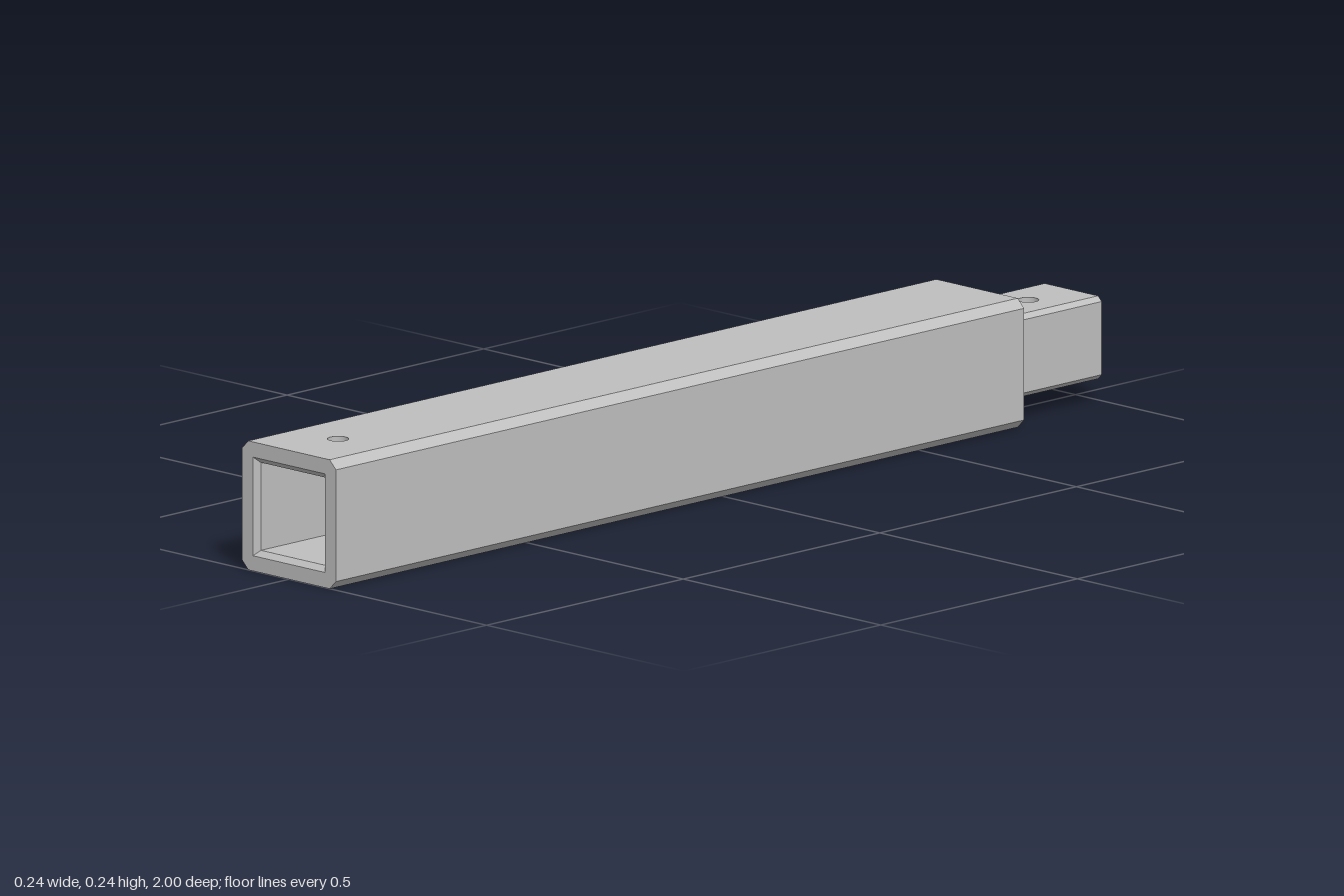
import * as THREE from 'three';

const BODY = 0.119, TENON = 0.0765, SOCKET = 0.081, MOUTH = 0.091; // half widths
const FRONT = 1, SHOULDER = -0.75, BACK = -1, FLOOR = 0.74, LIP = 0.99, NOSE = -0.99;
const BORE = 0.019, FRONT_PIN = 0.875, BACK_PIN = -0.88;

// Square outline, counter-clockwise from the front, with optional cut corners
function outline(h, c = 0) {
  const k = h - c;
  const points = c
    ? [[h, -k], [h, k], [k, h], [-k, h], [-h, k], [-h, -k], [-k, -h], [k, -h]]
    : [[h, -h], [h, h], [-h, h], [-h, -h]];
  return points.map(([x, y]) => new THREE.Vector2(x, y));
}

// Flat-sided skin between two outlines, from z0 back to z1, leaving out some sides
function skin(a, z0, b, z1, skip = [], inward = false) {
  const pos = [];
  a.forEach((p, i) => {
    if (skip.includes(i)) return;
    const j = (i + 1) % a.length;
    const q = [[p, z0], [b[i], z1], [b[j], z1], [a[j], z0]];
    const order = inward ? [0, 2, 1, 0, 3, 2] : [0, 1, 2, 0, 2, 3];
    for (const n of order) pos.push(q[n][0].x, q[n][0].y, q[n][1]);
  });
  const g = new THREE.BufferGeometry();
  g.setAttribute('position', new THREE.Float32BufferAttribute(pos, 3));
  g.computeVertexNormals();
  return g;
}

// Flat end face, optionally with a square opening
function endFace(points, z, facing, hole) {
  const shape = new THREE.Shape(points);
  if (hole) shape.holes.push(new THREE.Path(hole));
  const g = new THREE.ShapeGeometry(shape);
  if (facing < 0) g.rotateY(Math.PI);
  return g.translate(0, 0, z);
}

// Horizontal face at height y with a round pin hole
function drilledFace(half, zBack, zFront, pinZ, y, facing) {
  const s = -facing;
  const shape = new THREE.Shape([
    new THREE.Vector2(-half, zBack * s), new THREE.Vector2(half, zBack * s),
    new THREE.Vector2(half, zFront * s), new THREE.Vector2(-half, zFront * s),
  ]);
  const hole = new THREE.Path();
  hole.absarc(0, pinZ * s, BORE, 0, Math.PI * 2, true);
  shape.holes.push(hole);
  return new THREE.ShapeGeometry(shape, 16).rotateX(-facing * Math.PI / 2).translate(0, y, 0);
}

// Wall of a pin hole
function bore(y0, y1, z) {
  return new THREE.CylinderGeometry(BORE, BORE, y1 - y0, 32, 1, true)
    .translate(0, (y0 + y1) / 2, z);
}

export function createModel() {
  const steel = new THREE.MeshStandardMaterial({ color: 0xbfbfbf, side: THREE.DoubleSide });
  steel.name = 'grey steel';

  const model = new THREE.Group();
  model.name = 'socketBar';
  const part = (name, parent = model) => {
    const g = new THREE.Group();
    g.name = name;
    parent.add(g);
    return g;
  };
  const add = (parent, name, geometry) => {
    const mesh = new THREE.Mesh(geometry, steel);
    mesh.name = name;
    parent.add(mesh);
  };

  // Long bar with cut corners
  const bar = part('bar');
  const barEdge = 0.016;
  const barOutline = outline(BODY, barEdge);
  add(bar, 'barSides', skin(barOutline, FRONT, barOutline, SHOULDER, [2, 6]));
  add(bar, 'frontRim', endFace(barOutline, FRONT, 1, outline(MOUTH)));
  add(bar, 'shoulder', endFace(barOutline, SHOULDER, -1, outline(TENON - 0.005)));

  // Square socket with a sloping lip
  const socket = part('socket');
  const inner = outline(SOCKET);
  add(socket, 'socketLip', skin(outline(MOUTH), FRONT, inner, LIP, [], true));
  add(socket, 'socketSides', skin(inner, LIP, inner, FLOOR, [1, 3], true));
  add(socket, 'socketFloor', endFace(inner, FLOOR, 1));

  // Tenon with bevelled edges and nose
  const tenon = part('tenon');
  const tenonEdge = 0.009;
  const tenonOutline = outline(TENON, tenonEdge);
  const noseOutline = outline(TENON - 0.009, 0.004);
  add(tenon, 'tenonSides', skin(tenonOutline, SHOULDER, tenonOutline, NOSE, [2, 6]));
  add(tenon, 'tenonBevel', skin(tenonOutline, NOSE, noseOutline, BACK));
  add(tenon, 'tenonEnd', endFace(noseOutline, BACK, -1));

  // Drilled faces above and below, and the walls of the pin holes
  for (const s of [1, -1]) {
    const side = s > 0 ? 'Top' : 'Bottom';
    add(bar, 'bar' + side, drilledFace(BODY - barEdge, SHOULDER, FRONT, FRONT_PIN, s * BODY, s));
    add(socket, 'socket' + side, drilledFace(SOCKET, FLOOR, LIP, FRONT_PIN, s * SOCKET, -s));
    add(tenon, 'tenon' + side, drilledFace(TENON - tenonEdge, NOSE, SHOULDER, BACK_PIN, s * TENON, s));
    const [low, high] = s > 0 ? [SOCKET, BODY] : [-BODY, -SOCKET];
    add(bar, 'pinHole' + side, bore(low, high, FRONT_PIN));
  }
  add(tenon, 'tenonPinHole', bore(-TENON, TENON, BACK_PIN));

  // Rest the bar on the ground
  for (const child of model.children) child.position.y = BODY;
  return model;
}
